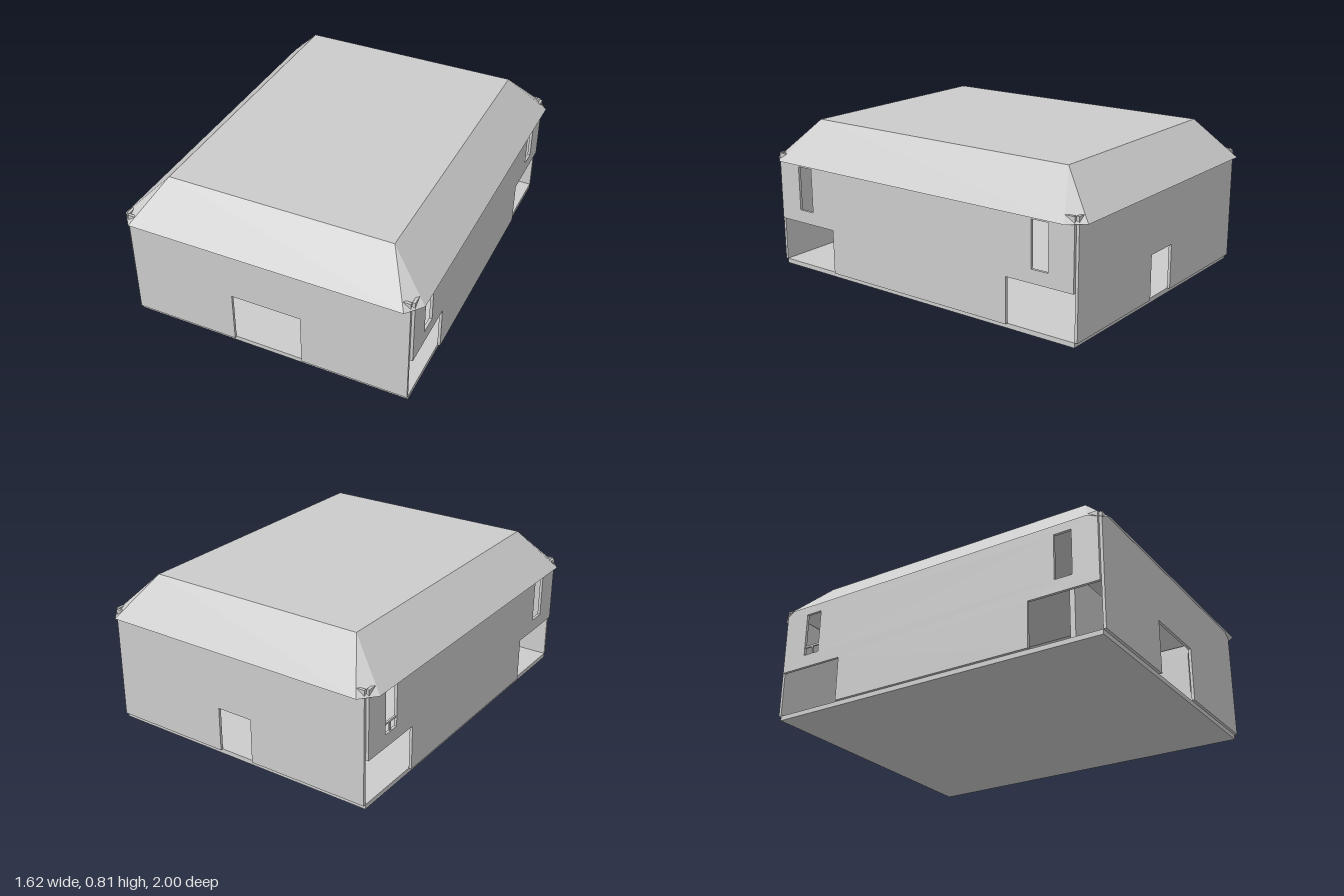
import * as THREE from 'three';

const material = new THREE.MeshStandardMaterial({ color: 0xcccccc, flatShading: true, side: THREE.DoubleSide });

const X = 0.76, Z = 0.95, T = 0.015;   // floor half width, half depth, wall thickness
const FLOOR = 0.025, WALL_TOP = 0.63;

export function createModel() {
  const group = new THREE.Group();
  const add = (name, geometry, x = 0, y = 0, z = 0) => {
    const mesh = new THREE.Mesh(geometry, material);
    mesh.name = name;
    mesh.position.set(x, y, z);
    group.add(mesh);
    return mesh;
  };
  const polygon = (points) => new THREE.Shape(points.map(([a, b]) => new THREE.Vector2(a, b)));
  const panel = (shape) => new THREE.ExtrudeGeometry(shape, { depth: T, bevelEnabled: false });

  add('floor', new THREE.BoxGeometry(2 * X, FLOOR, 2 * Z), 0, FLOOR / 2, 0);

  // End walls, each with a central doorway cut up from the floor
  const endWall = (doorHalf, doorTop) => panel(polygon([
    [-X, FLOOR], [-doorHalf, FLOOR], [-doorHalf, doorTop], [doorHalf, doorTop],
    [doorHalf, FLOOR], [X, FLOOR], [X, WALL_TOP], [-X, WALL_TOP],
  ]));
  add('frontWall', endWall(0.19, 0.31), 0, 0, Z);
  add('backWall', endWall(0.1, 0.265), 0, 0, -Z - T);

  // Side walls with low openings at both corners and a tall window above each
  const side = polygon([
    [-0.57, FLOOR], [0.57, FLOOR], [0.57, 0.265], [Z, 0.265],
    [Z, WALL_TOP], [-Z, WALL_TOP], [-Z, 0.265], [-0.57, 0.265],
  ]);
  for (const s of [-1, 1]) {
    const a = s * 0.715, b = s * 0.81;
    side.holes.push(polygon([[a, 0.335], [a, 0.575], [b, 0.575], [b, 0.335]]));
  }
  const sideGeometry = panel(side).rotateY(-Math.PI / 2);
  add('leftWall', sideGeometry, X + T);
  add('rightWall', sideGeometry, -X);

  // Screen wall behind the front doorway
  add('partition', new THREE.BoxGeometry(0.74, 0.6 - FLOOR, 0.03), 0, (0.6 + FLOOR) / 2, 0.585);

  // Small bars low in the rear window
  add('windowRail', new THREE.BoxGeometry(0.01, 0.01, 0.1), -X - 0.005, 0.385, -0.7625);
  add('windowPost', new THREE.BoxGeometry(0.01, 0.05, 0.01), -X - 0.005, 0.36, -0.7625);

  // Hipped roof: flat rectangle on top, clipped corners at the eaves
  const top = [[0.605, 0.8], [0.605, 0.8], [-0.605, 0.8], [-0.605, 0.8],
    [-0.605, -0.8], [-0.605, -0.8], [0.605, -0.8], [0.605, -0.8]];
  const eave = [[0.81, 0.915], [0.74, 1], [-0.74, 1], [-0.81, 0.915],
    [-0.81, -0.915], [-0.74, -1], [0.74, -1], [0.81, -0.915]];
  const positions = [];
  const triangle = (...corners) => corners.forEach(([x, z, y]) => positions.push(x, y, z));
  for (let i = 0; i < 8; i++) {
    const j = (i + 1) % 8;
    const [a, b] = [[...eave[i], 0.595], [...eave[j], 0.595]];
    const [c, d] = [[...top[j], 0.805], [...top[i], 0.805]];
    triangle(a, c, b);
    if (i % 2) triangle(a, d, c);
  }
  const [p, q, r, s] = [0, 2, 4, 6].map((i) => [...top[i], 0.805]);
  triangle(p, r, q);
  triangle(p, s, r);
  const roof = new THREE.BufferGeometry();
  roof.setAttribute('position', new THREE.Float32BufferAttribute(positions, 3));
  roof.computeVertexNormals();
  add('roof', roof);

  return group;
}
